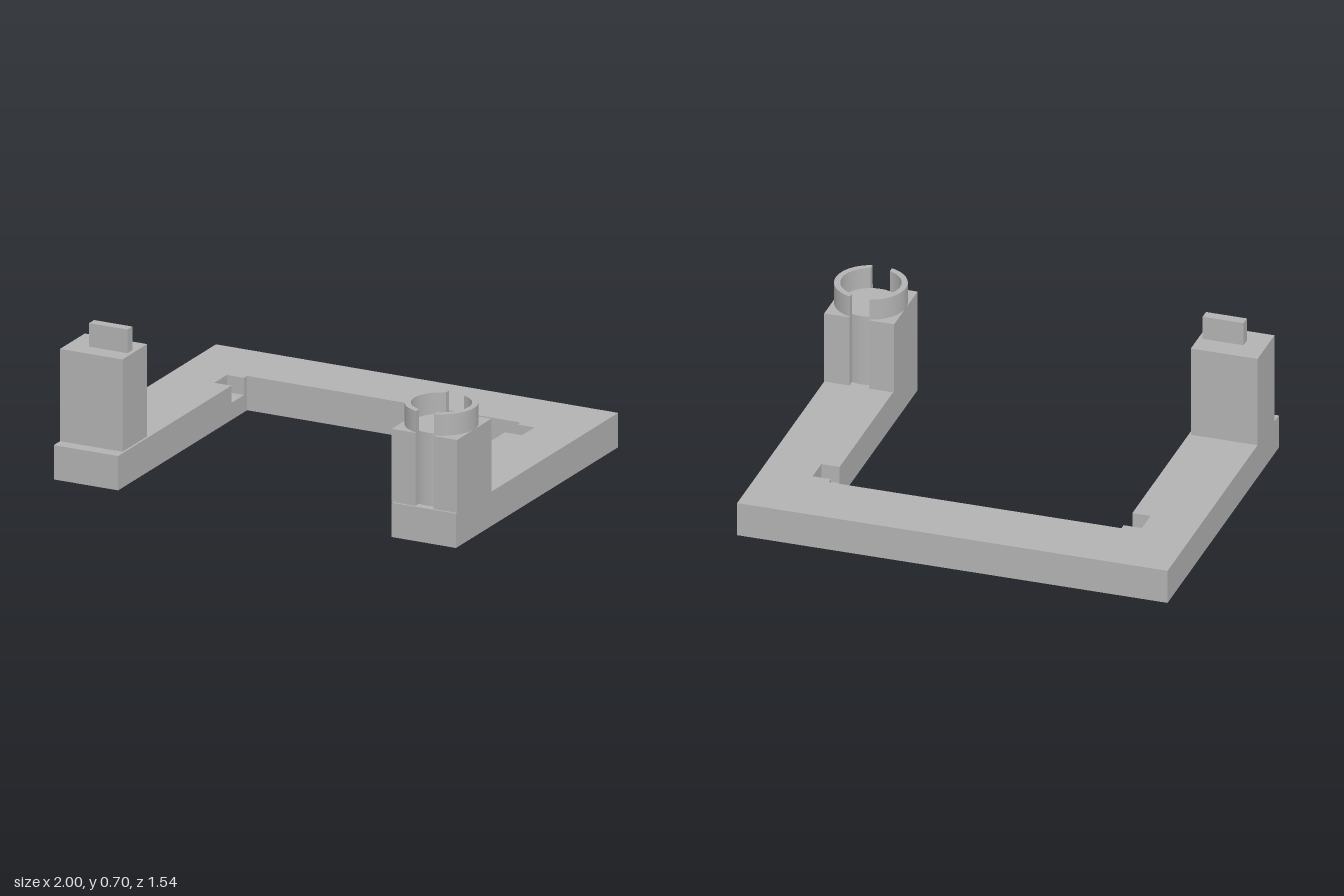
import * as THREE from 'three';
import { toCreasedNormals } from 'three/addons/utils/BufferGeometryUtils.js';

const grey = new THREE.MeshStandardMaterial({ color: 0xb2b2b2 });
grey.name = 'grey';

// Plan outline (x, z) raised from y0 to y1
function slab(name, shape, y0, y1) {
  let geo = new THREE.ExtrudeGeometry(shape, { depth: y1 - y0, bevelEnabled: false, curveSegments: 32 });
  geo.rotateX(Math.PI / 2).translate(0, y1, 0);
  geo = toCreasedNormals(geo, 0.5);
  const mesh = new THREE.Mesh(geo, grey);
  mesh.name = name;
  return mesh;
}

function block(name, x0, x1, y0, y1, z0, z1) {
  const mesh = new THREE.Mesh(new THREE.BoxGeometry(x1 - x0, y1 - y0, z1 - z0), grey);
  mesh.position.set((x0 + x1) / 2, (y0 + y1) / 2, (z0 + z1) / 2);
  mesh.name = name;
  return mesh;
}

// U-shaped plan, optionally with a small notch in each inner side
function uShape(notched) {
  const inner = [[0.68, 0.77]];
  if (notched) inner.push([0.68, -0.305], [0.765, -0.305], [0.765, -0.425], [0.68, -0.425]);
  inner.push([0.68, -0.455]);
  const mirrored = inner.map(([x, z]) => [-x, z]).reverse();
  const outer = [[-1, 0.77], [-1, -0.77], [1, -0.77], [1, 0.77]];
  return new THREE.Shape([...outer, ...inner, ...mirrored].map(([x, z]) => new THREE.Vector2(x, z)));
}

export function createModel() {
  const model = new THREE.Group();
  model.name = 'bracketFrame';

  // Base frame; the notches are cut into the upper layer only
  model.add(slab('frameLower', uShape(false), 0, 0.08));
  model.add(slab('frameUpper', uShape(true), 0.08, 0.16));

  // Post with a thin tab on top
  model.add(block('tabPost', -1, -0.69, 0.16, 0.59, 0.475, 0.71));
  model.add(block('tab', -0.9, -0.71, 0.59, 0.7, 0.578, 0.625));

  // Square post with front and back slots that end on a round core
  const half = 0.1625, gap = 0.045, coreR = 0.135;
  const socket = new THREE.Group();
  socket.name = 'socket';
  socket.position.set(0.8375, 0, 0.5975);
  const a = Math.acos(gap / coreR);
  const post = new THREE.Shape();
  post.moveTo(half, -half);
  post.lineTo(half, half);
  post.lineTo(gap, half);
  post.absarc(0, 0, coreR, a, Math.PI - a, false);
  post.lineTo(-gap, half);
  post.lineTo(-half, half);
  post.lineTo(-half, -half);
  post.lineTo(-gap, -half);
  post.absarc(0, 0, coreR, Math.PI + a, 2 * Math.PI - a, false);
  post.lineTo(gap, -half);
  post.closePath();
  socket.add(slab('socketPost', post, 0.16, 0.5));

  // Split ring in two halves
  const b = Math.acos(gap / half);
  const arc = new THREE.Shape();
  arc.absarc(0, 0, half, -b, b, false);
  arc.absarc(0, 0, coreR, a, -a, true);
  arc.closePath();
  for (const side of ['Left', 'Right']) {
    const ring = slab('ring' + side, arc, 0.5, 0.6);
    if (side === 'Right') ring.rotation.y = Math.PI;
    socket.add(ring);
  }
  model.add(socket);
  return model;
}
